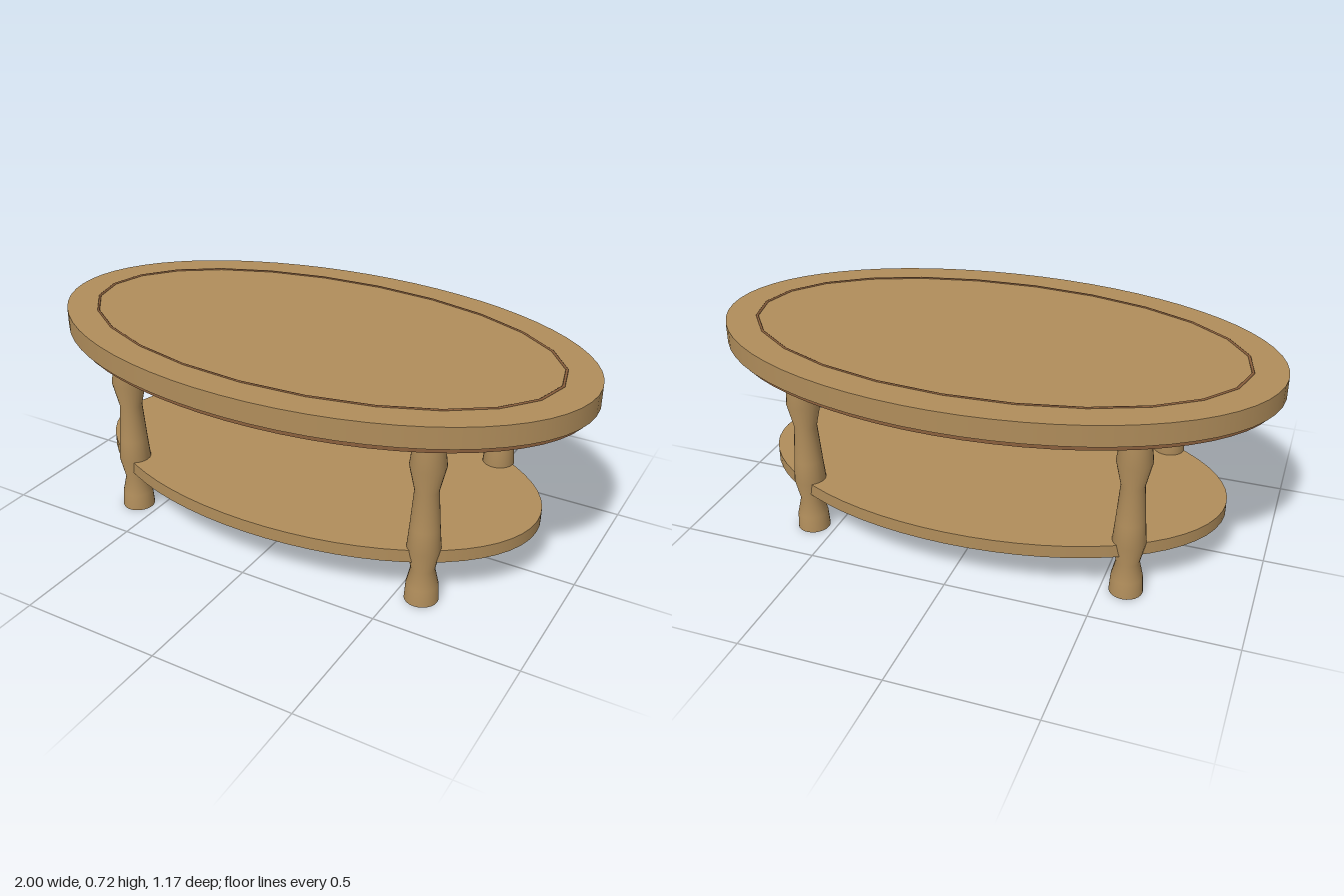
import * as THREE from 'three';

const wood = new THREE.MeshStandardMaterial({ color: 0xb08d5b });
wood.name = 'wood';
const darkWood = new THREE.MeshStandardMaterial({ color: 0x8b603d });
darkWood.name = 'dark wood';

// Oval slab with half-axes rx and rz, between heights y0 and y1
function ovalSlab(name, rx, rz, y0, y1, material) {
  const geometry = new THREE.CylinderGeometry(1, 1, y1 - y0, 64);
  geometry.scale(rx, 1, rz);
  geometry.translate(0, (y0 + y1) / 2, 0);
  const mesh = new THREE.Mesh(geometry, material);
  mesh.name = name;
  return mesh;
}

export function createModel() {
  const table = new THREE.Group();
  table.name = 'ovalCoffeeTable';

  table.add(
    ovalSlab('tableTop', 1, 0.583, 0.637, 0.711, wood),
    ovalSlab('underTrim', 0.98, 0.565, 0.615, 0.637, darkWood),
    ovalSlab('lowerShelf', 0.85, 0.483, 0.157, 0.203, wood)
  );

  // Thin inlaid line on the top
  const inlay = new THREE.TorusGeometry(0.886, 0.005, 8, 24);
  inlay.rotateX(Math.PI / 2);
  inlay.scale(1, 1, 0.536);
  const ring = new THREE.Mesh(inlay, darkWood);
  ring.name = 'inlayRing';
  ring.position.y = 0.711;
  table.add(ring);

  // Turned legs: radius, height
  const profile = [
    [0, 0], [0.058, 0], [0.058, 0], [0.054, 0.06], [0.04, 0.12], [0.057, 0.2],
    [0.05, 0.28], [0.04, 0.415], [0.06, 0.505], [0.05, 0.585], [0.055, 0.62],
  ].map(([r, y]) => new THREE.Vector2(r, y));
  // Separate foot disc keeps the bottom edge sharp
  const legGeometry = new THREE.LatheGeometry(profile.slice(2), 24);
  const footGeometry = new THREE.CircleGeometry(0.058, 24).rotateX(Math.PI / 2);
  for (const x of [1, -1]) {
    for (const z of [1, -1]) {
      const leg = new THREE.Group();
      leg.name = (z > 0 ? 'front' : 'back') + (x > 0 ? 'Left' : 'Right') + 'Leg';
      const post = new THREE.Mesh(legGeometry, wood);
      post.name = 'turnedPost';
      const foot = new THREE.Mesh(footGeometry, wood);
      foot.name = 'footBase';
      leg.add(post, foot);
      leg.position.set(x * 0.585, 0, z * 0.318);
      table.add(leg);
    }
  }
  return table;
}
